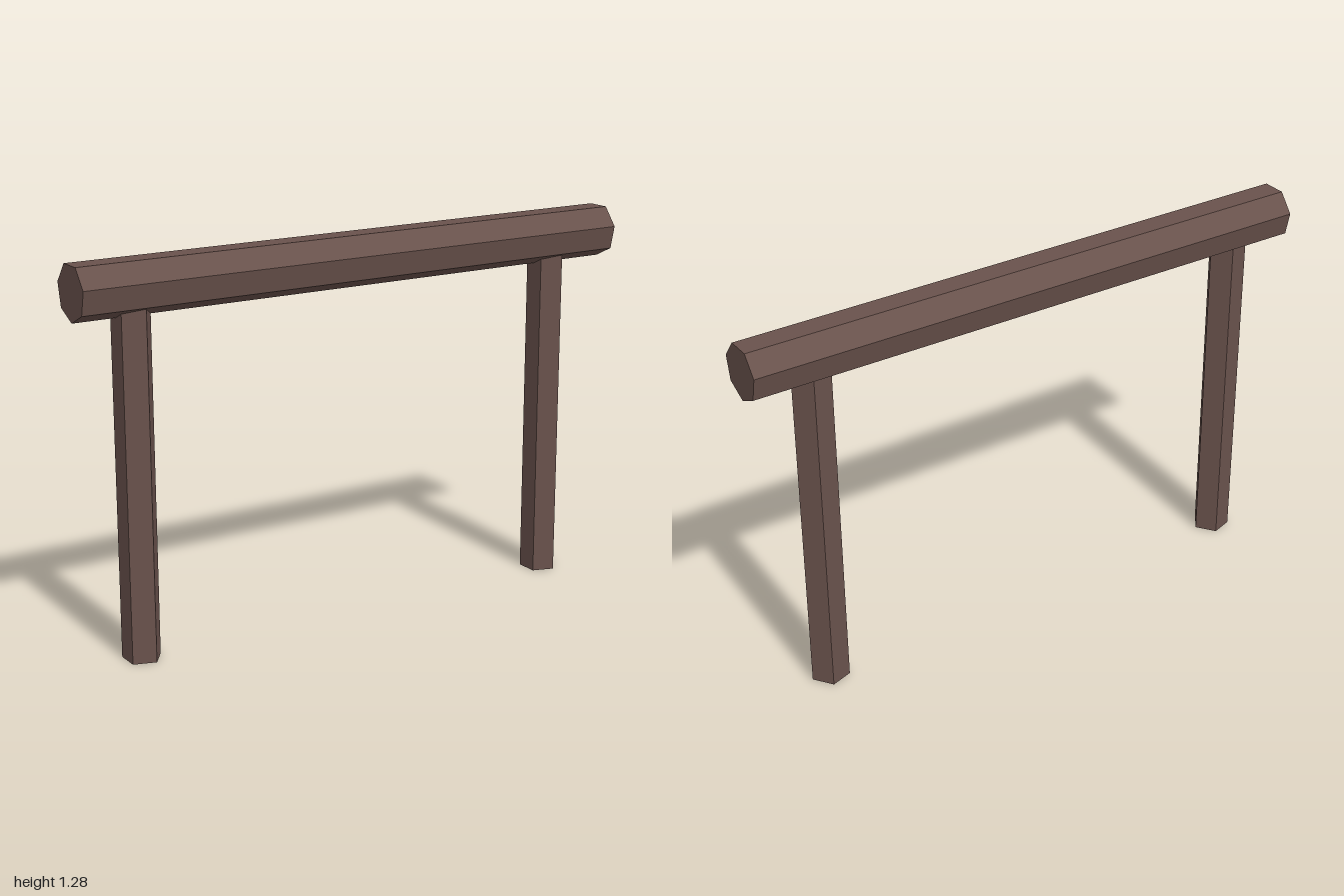
import * as THREE from 'three';

export function createModel() {
  const model = new THREE.Group();
  model.name = 'hitchingRail';

  const wood = new THREE.MeshStandardMaterial({ color: 0x69524c, flatShading: true, side: THREE.DoubleSide });
  wood.name = 'dark brown wood';

  // Seven-sided beam along x, flat side up and one edge straight down
  const beamRadius = 0.092;
  const beamGeometry = new THREE.CylinderGeometry(beamRadius, beamRadius, 2, 7, 1, false, -Math.PI / 2);
  beamGeometry.rotateZ(Math.PI / 2);
  const beam = new THREE.Mesh(beamGeometry, wood);
  beam.name = 'beam';
  beam.position.y = 1.197;
  model.add(beam);

  // Five-sided posts, open underneath, each with an edge towards +x
  const postHeight = 1.17;
  const postGeometry = new THREE.CylinderGeometry(0.0645, 0.0645, postHeight, 5, 1, true, Math.PI / 2);
  for (const [name, x] of [['rightPost', -0.804], ['leftPost', 0.776]]) {
    const post = new THREE.Mesh(postGeometry, wood);
    post.name = name;
    post.position.set(x, postHeight / 2, 0);
    model.add(post);
  }

  return model;
}
